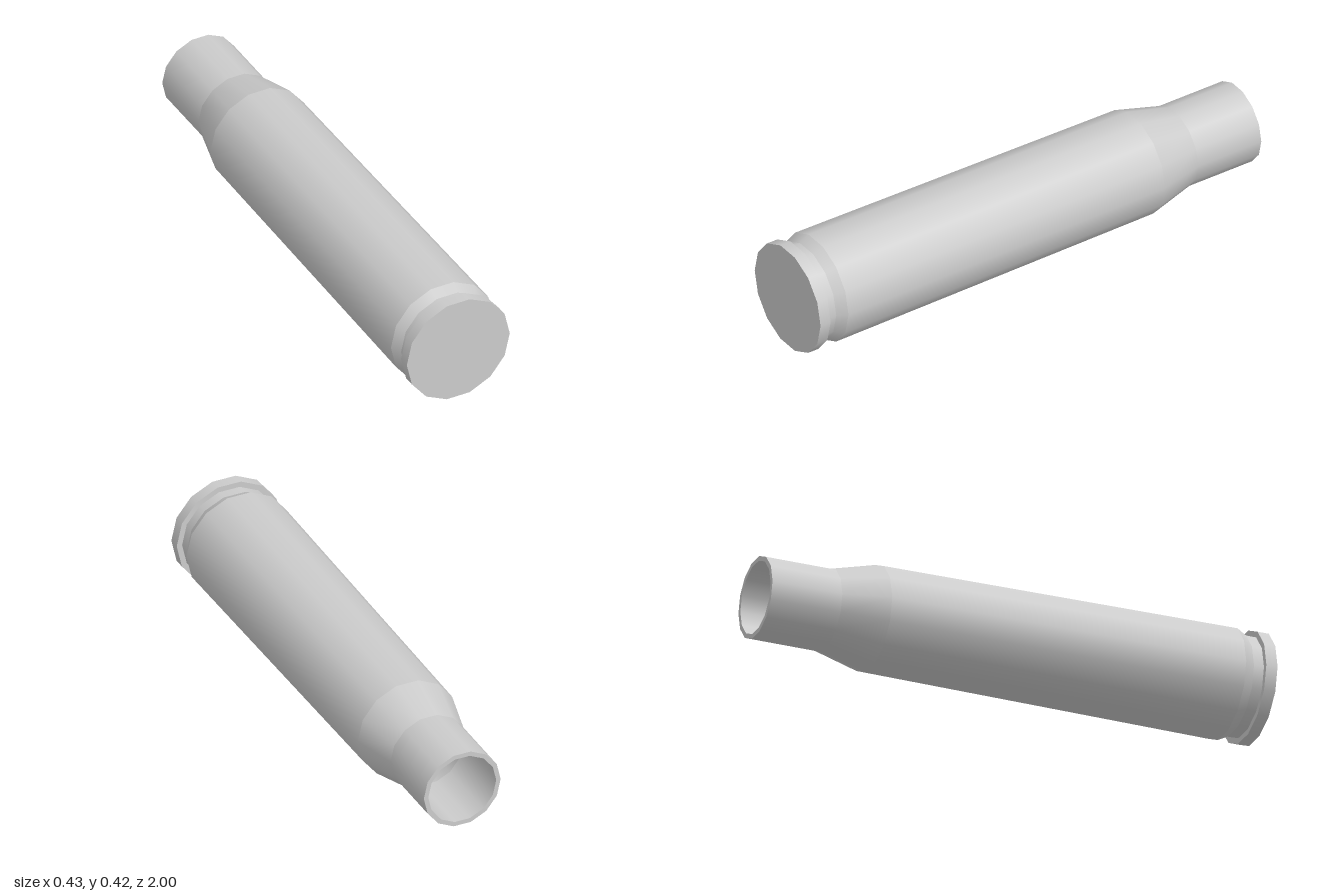
import * as THREE from 'three';

const SIDES = 14;
const AXIS_Y = 0.21;

export function createModel() {
  const model = new THREE.Group();
  model.name = 'cartridgeCase';
  const material = new THREE.MeshStandardMaterial({ color: 0xcccccc });

  // Closed profile as [part, radius, z]: from the cavity floor out of the
  // mouth, then along the outside to the centre of the base.
  // Each entry names the band that ends at that point.
  const profile = [
    [null, 0, 0.84],
    ['cavityFloor', 0.19, 0.84],
    ['innerBody', 0.182, -0.53],
    ['innerShoulder', 0.139, -0.72],
    ['innerNeck', 0.139, -1],
    ['mouthLip', 0.157, -1],
    ['neck', 0.157, -0.72],
    ['shoulder', 0.203, -0.54],
    ['body', 0.214, 0.875],
    ['grooveBevel', 0.193, 0.915],
    ['extractorGroove', 0.193, 0.955],
    ['rimBack', 0.215, 0.955],
    ['rim', 0.215, 1],
    ['base', 0, 1],
  ];

  // One lathe per band: smooth around the axis, sharp between bands
  for (let i = 1; i < profile.length; i++) {
    const [, r0, z0] = profile[i - 1];
    const [name, r1, z1] = profile[i];
    const points = [new THREE.Vector2(r0, z0), new THREE.Vector2(r1, z1)];
    const geometry = new THREE.LatheGeometry(points, SIDES, Math.PI / 2);
    geometry.rotateX(Math.PI / 2);
    geometry.translate(0, AXIS_Y, 0);
    const mesh = new THREE.Mesh(geometry, material);
    mesh.name = name;
    model.add(mesh);
  }
  return model;
}
